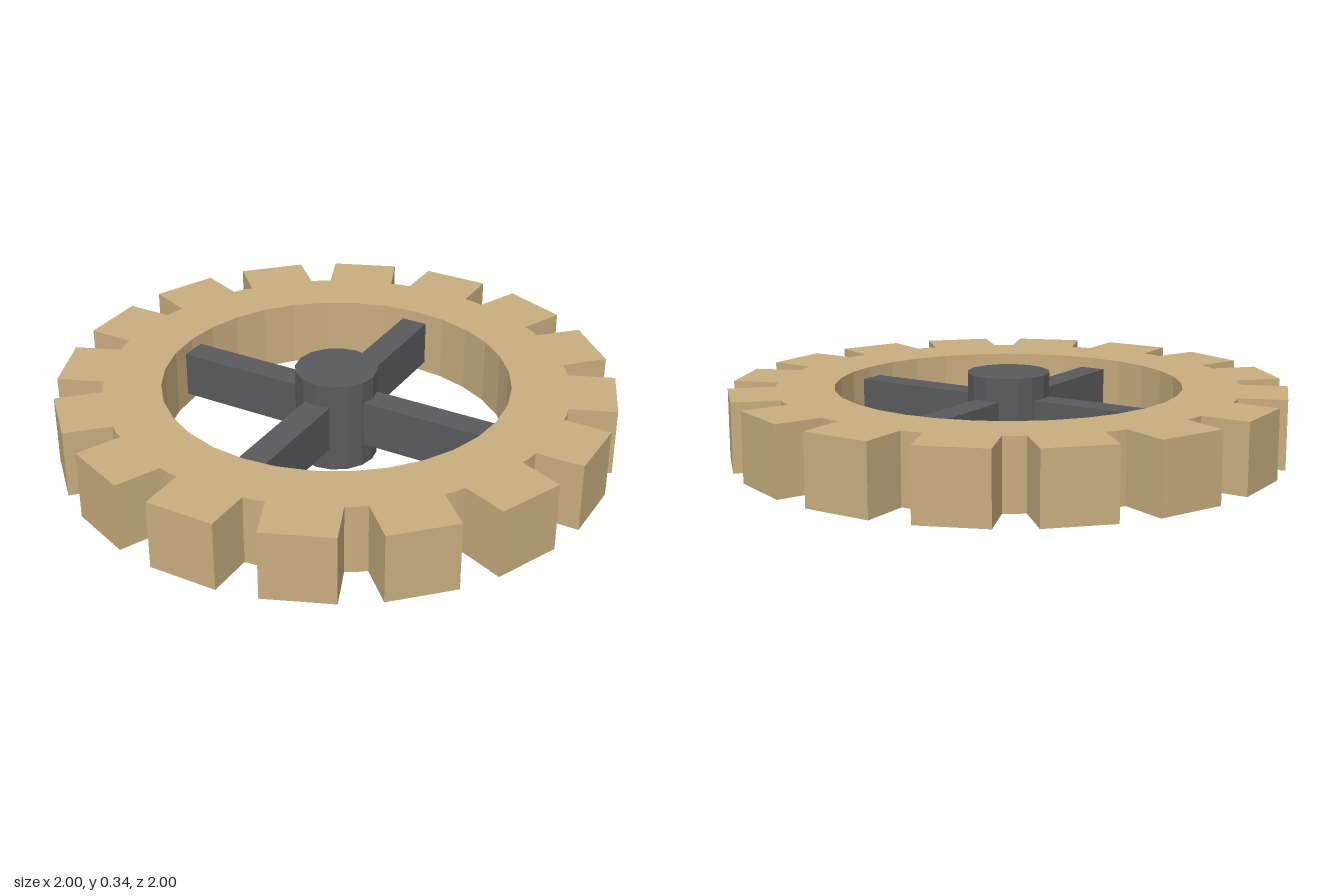
import * as THREE from 'three';

const TEETH = 16, HALF_TOOTH = 0.125, OUTER = 1, ROOT = 0.84, INNER = 0.63;
const THICK = 0.25, HUB_H = 0.34, MID = HUB_H / 2;

export function createModel() {
  const wood = new THREE.MeshStandardMaterial({ color: 0xc8ad7f });
  wood.name = 'tan wood';
  const iron = new THREE.MeshStandardMaterial({ color: 0x5a5a5c });
  iron.name = 'dark iron';

  const group = new THREE.Group();
  group.name = 'gearWheel';
  const add = (name, geometry, material) => {
    const mesh = new THREE.Mesh(geometry, material);
    mesh.name = name;
    group.add(mesh);
    return mesh;
  };
  const flat = (g) => {
    const f = g.index ? g.toNonIndexed() : g;
    f.computeVertexNormals();
    return f;
  };

  // Toothed rim: straight-sided teeth, with one kink in each gap
  const step = (Math.PI * 2) / TEETH;
  const kink = new THREE.Vector2(ROOT * Math.cos(step / 2), ROOT * Math.sin(step / 2));
  const foot = ROOT - HALF_TOOTH * (ROOT - kink.x) / kink.y;
  const tooth = [
    new THREE.Vector2(foot, -HALF_TOOTH),
    new THREE.Vector2(OUTER, -HALF_TOOTH),
    new THREE.Vector2(OUTER, HALF_TOOTH),
    new THREE.Vector2(foot, HALF_TOOTH),
    kink,
  ];
  const origin = new THREE.Vector2();
  const outline = [];
  for (let i = 0; i < TEETH; i++) {
    for (const p of tooth) outline.push(p.clone().rotateAround(origin, i * step));
  }
  const shape = new THREE.Shape(outline);
  const hole = [];
  for (let i = 0; i < 32; i++) {
    const a = -(i / 32) * Math.PI * 2;
    hole.push(new THREE.Vector2(INNER * Math.cos(a), INNER * Math.sin(a)));
  }
  shape.holes.push(new THREE.Path(hole));
  const rim = new THREE.ExtrudeGeometry(shape, { depth: THICK, bevelEnabled: false });
  rim.translate(0, 0, -THICK / 2).rotateX(-Math.PI / 2);
  add('toothedRim', flat(rim), wood).position.y = MID;

  // Central hub
  add('hub', flat(new THREE.CylinderGeometry(0.15, 0.15, HUB_H, 16)), iron).position.y = MID;

  // Four spokes from the hub to the rim
  for (let i = 0; i < 4; i++) {
    const bar = new THREE.BoxGeometry(0.525, 0.17, 0.1);
    bar.translate(0.3625, 0, 0);
    const spoke = add('spoke' + (i + 1), bar, iron);
    spoke.rotation.y = (i * Math.PI) / 2;
    spoke.position.y = MID;
  }
  return group;
}
